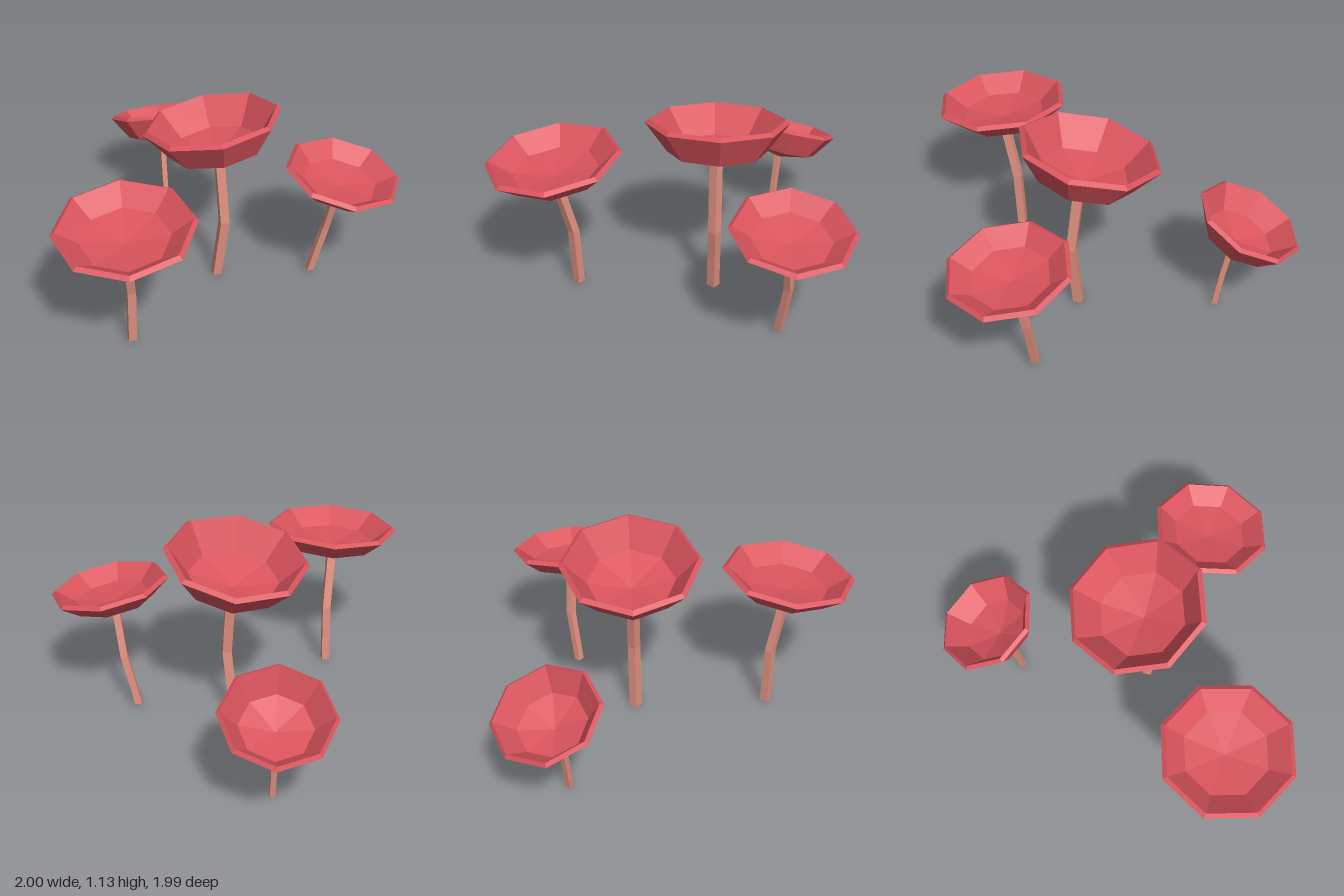
import * as THREE from 'three';

const capRed = new THREE.MeshStandardMaterial({ color: 0xdb545d });
capRed.name = 'capRed';
const stemPink = new THREE.MeshStandardMaterial({ color: 0xe09080 });
stemPink.name = 'stemPink';

// Faceted normals
function facet(geometry) {
  const g = geometry.toNonIndexed();
  g.computeVertexNormals();
  return g;
}

// Eight-sided bowl: outer shell, bevelled lip, inner shell
function makeCap({ centre, up, radius: r, depth: d, yaw = 0 }) {
  const profile = [
    [0, -d], [0.69 * r, -0.71 * d], [r, 0], [0.935 * r, 0.018],
    [0.63 * r, -0.71 * d + 0.025], [0, -d + 0.03],
  ].map(([x, y]) => new THREE.Vector2(x, y));
  const geometry = new THREE.LatheGeometry(profile, 8);
  geometry.rotateY(yaw);
  const cap = new THREE.Mesh(facet(geometry), capRed);
  cap.name = 'cap';
  cap.position.set(...centre);
  cap.quaternion.setFromUnitVectors(
    new THREE.Vector3(0, 1, 0), new THREE.Vector3(...up).normalize());
  return cap;
}

// Four-sided stem bent through three points (base, middle, top)
function makeStem(path, width) {
  const geometry = new THREE.CylinderGeometry(width / 2, width / 2, 1, 4, 2);
  geometry.rotateY(0.12);
  const p = geometry.attributes.position;
  for (let i = 0; i < p.count; i++) {
    const [x, y, z] = path[Math.round((p.getY(i) + 0.5) * 2)];
    p.setXYZ(i, p.getX(i) + x, y, p.getZ(i) + z);
  }
  const stem = new THREE.Mesh(facet(geometry), stemPink);
  stem.name = 'stem';
  return stem;
}

const mushrooms = [
  {
    name: 'tallMushroom',
    cap: { centre: [0.035, 1.032, -0.268], up: [-0.22, 1, 0], radius: 0.394, depth: 0.23, yaw: 0.03 },
    path: [[0.095, 0, -0.265], [0.14, 0.4, -0.265], [0.09, 0.83, -0.265]], width: 0.074,
  },
  {
    name: 'frontMushroom',
    cap: { centre: [0.16, 0.865, 0.615], up: [0.04, 1, 0.12], radius: 0.38, depth: 0.14 },
    path: [[0.1, 0.015, 0.515], [0.115, 0.37, 0.53], [0.16, 0.75, 0.615]], width: 0.066,
  },
  {
    name: 'leftBackMushroom',
    cap: { centre: [0.67, 0.757, -0.65], up: [0.18, 1, -0.054], radius: 0.333, depth: 0.12 },
    path: [[0.527, 0.025, -0.62], [0.585, 0.34, -0.655], [0.655, 0.66, -0.64]], width: 0.056,
  },
  {
    name: 'rightBackMushroom',
    cap: { centre: [-0.715, 0.608, -0.705], up: [-0.37, 1, -0.24], radius: 0.304, depth: 0.185 },
    path: [[-0.595, 0, -0.628], [-0.622, 0.22, -0.64], [-0.655, 0.46, -0.66]], width: 0.044,
  },
];

export function createModel() {
  const model = new THREE.Group();
  model.name = 'mushroomCluster';
  for (const { name, cap, path, width } of mushrooms) {
    const mushroom = new THREE.Group();
    mushroom.name = name;
    mushroom.add(makeCap(cap), makeStem(path, width));
    model.add(mushroom);
  }
  return model;
}
